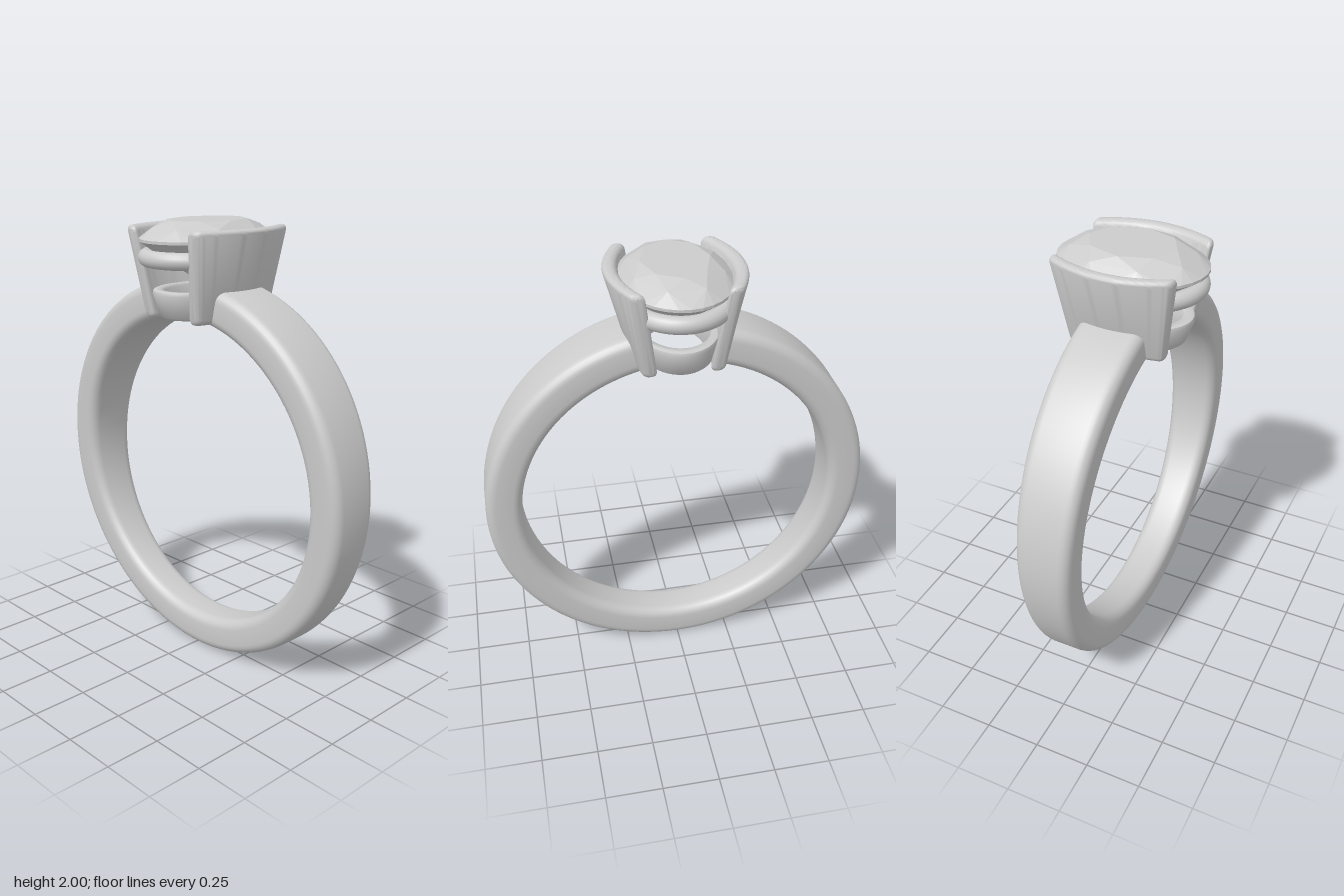
import * as THREE from 'three';
import { toCreasedNormals } from 'three/addons/utils/BufferGeometryUtils.js';
import { ConvexGeometry } from 'three/addons/geometries/ConvexGeometry.js';

const { lerp } = THREE.MathUtils;
const metal = new THREE.MeshStandardMaterial({ color: 0xcccccc });

function add(group, name, geometry, material = metal) {
  const mesh = new THREE.Mesh(geometry, material);
  mesh.name = name;
  group.add(mesh);
  return mesh;
}

// Counter-clockwise rounded rectangle as [x, y] points
function roundedRect(w, h, r, steps = 5) {
  const pts = [];
  [[1, 1], [-1, 1], [-1, -1], [1, -1]].forEach(([sx, sy], q) => {
    for (let i = 0; i <= steps; i++) {
      const a = (q + i / steps) * Math.PI / 2;
      pts.push([sx * (w / 2 - r) + r * Math.cos(a), sy * (h / 2 - r) + r * Math.sin(a)]);
    }
  });
  return pts;
}

// Skin a list of closed rings and cap both ends
function loft(rings) {
  const n = rings[0].length, pos = [], index = [];
  rings.forEach(ring => ring.forEach(p => pos.push(p.x, p.y, p.z)));
  for (let i = 0; i < rings.length - 1; i++) {
    for (let j = 0; j < n; j++) {
      const k = (j + 1) % n, a = i * n + j, b = i * n + k;
      index.push(a, b, b + n, a, b + n, a + n);
    }
  }
  [0, rings.length - 1].forEach(i => {
    const c = new THREE.Vector3();
    rings[i].forEach(p => c.addScaledVector(p, 1 / n));
    const m = pos.length / 3;
    pos.push(c.x, c.y, c.z);
    for (let j = 0; j < n; j++) {
      const a = i * n + j, b = i * n + (j + 1) % n;
      if (i === 0) index.push(m, b, a); else index.push(m, a, b);
    }
  });
  const geo = new THREE.BufferGeometry();
  geo.setAttribute('position', new THREE.Float32BufferAttribute(pos, 3));
  geo.setIndex(index);
  return toCreasedNormals(geo, 0.8);
}

// Open band, wider towards the setting
function bandGeometry() {
  const rings = [], N = 120, gap = 0.215;
  for (let i = 0; i <= N; i++) {
    const a = lerp(gap, Math.PI * 2 - gap, i / N);
    const width = 2 * lerp(0.092, 0.148, (1 + Math.cos(a)) / 2);
    rings.push(roundedRect(0.163, width, 0.045).map(([r, z]) => {
      const R = 0.7915 + r;
      return new THREE.Vector3(R * Math.sin(a), 0.873 + R * Math.cos(a), z);
    }));
  }
  return loft(rings);
}

// Curved, outward-leaning wall that grips one side of the stone
function wallGeometry() {
  const rings = [], N = 40, y0 = 1.578, y1 = 1.975, h = y1 - y0;
  for (let i = 0; i <= N; i++) {
    const u = Math.sin((i / N - 0.5) * Math.PI);
    const e = Math.max(0, (Math.abs(u) - 0.92) / 0.08);
    const inset = 0.02 * (1 - Math.sqrt(Math.max(0, 1 - e * e)));
    const w = 0.062 - 2 * inset;
    rings.push(roundedRect(w, h - 2 * inset, Math.min(0.024, w * 0.45)).map(([x, y]) => {
      const v = y / h + 0.5;
      const mid = lerp(0.162, 0.269, v), end = lerp(0.138, 0.192, v);
      return new THREE.Vector3(mid - (mid - end) * u * u + x, y0 + v * h, u * lerp(0.213, 0.272, v));
    }));
  }
  return loft(rings);
}

// Faceted oval stone: table, crown, girdle, pavilion, culet
function stoneGeometry() {
  const pts = [new THREE.Vector3(0, 1.71, 0)];
  const ring = (n, scale, y, shift = 0) => {
    for (let i = 0; i < n; i++) {
      const a = (i + shift) / n * Math.PI * 2;
      pts.push(new THREE.Vector3(0.243 * scale * Math.sin(a), y, 0.327 * scale * Math.cos(a)));
    }
  };
  ring(8, 0.6, 2.0);
  ring(8, 0.82, 1.972, 0.5);
  ring(32, 1, 1.927);
  ring(32, 1, 1.915);
  ring(8, 0.56, 1.822, 0.5);
  return new ConvexGeometry(pts);
}

export function createModel() {
  const group = new THREE.Group();
  add(group, 'band', bandGeometry());

  const wall = wallGeometry();
  add(group, 'leftSettingWall', wall);
  add(group, 'rightSettingWall', wall).rotation.y = Math.PI;

  // Flared oval collar at the base of the setting
  const profile = [
    [0.19, 1.59], [0.225, 1.588], [0.238, 1.598], [0.272, 1.695], [0.268, 1.708],
    [0.255, 1.712], [0.225, 1.71], [0.216, 1.7], [0.185, 1.6], [0.19, 1.59],
  ].map(([r, y]) => new THREE.Vector2(r, y));
  const collar = toCreasedNormals(new THREE.LatheGeometry(profile, 64), 0.8);
  add(group, 'baseCollar', collar).scale.x = 0.68;

  // Oval rod under the stone
  const path = [];
  for (let i = 0; i < 32; i++) {
    const a = i / 32 * Math.PI * 2;
    path.push(new THREE.Vector3(0.22 * Math.cos(a), 1.845, 0.29 * Math.sin(a)));
  }
  add(group, 'supportRod', new THREE.TubeGeometry(new THREE.CatmullRomCurve3(path, true), 96, 0.037, 16, true));

  const facets = metal.clone();
  facets.flatShading = true;
  add(group, 'stone', stoneGeometry(), facets);
  return group;
}
